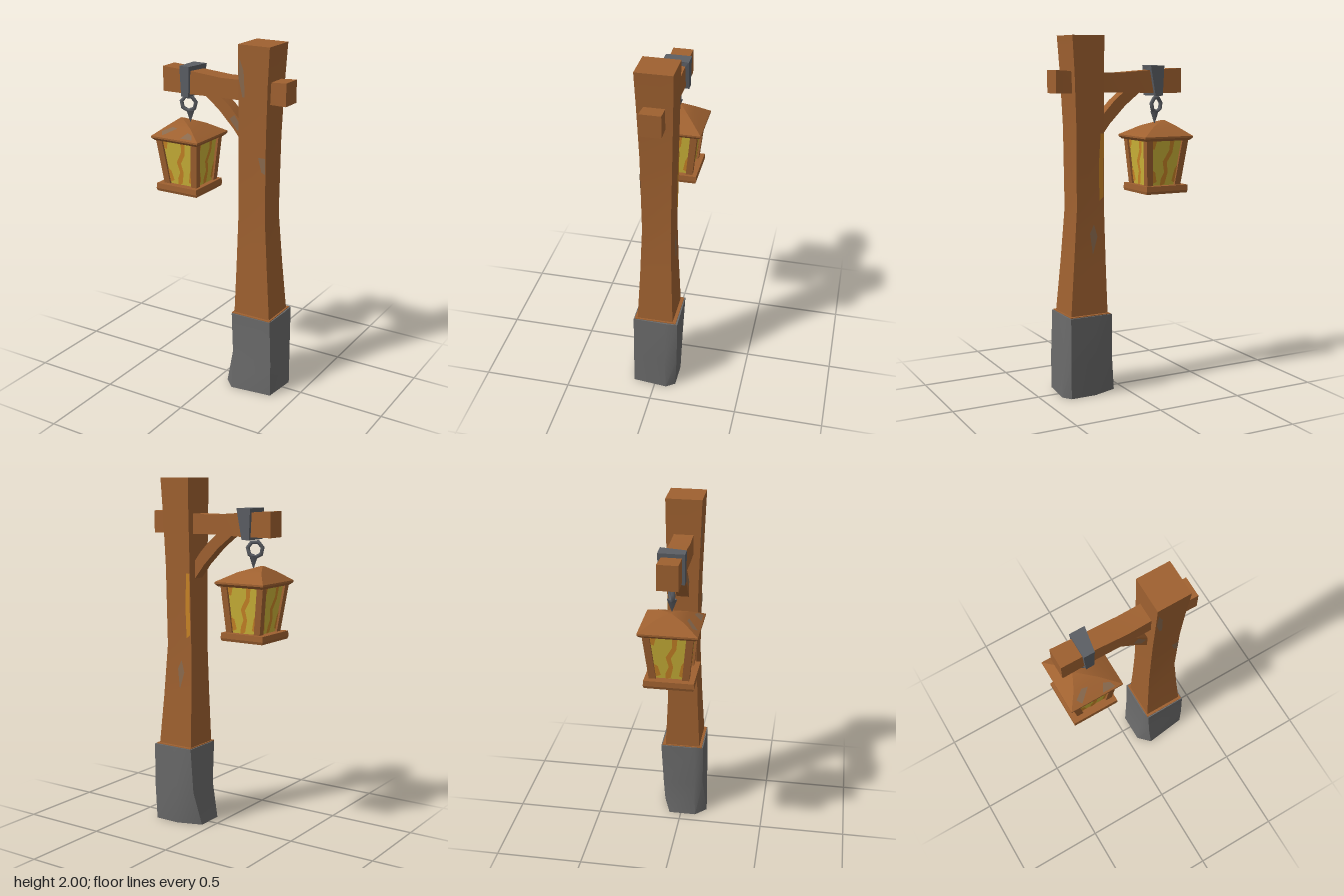
import * as THREE from 'three';
import { toCreasedNormals } from 'three/addons/utils/BufferGeometryUtils.js';

const mat = (name, color, side = THREE.FrontSide) =>
  Object.assign(new THREE.MeshStandardMaterial({ color, side }), { name });

// Skin between rings of [x, y, z] points, closed with caps
function loft(rings, crease = 0.7) {
  const pos = [];
  const tri = (a, b, c) => pos.push(...a, ...b, ...c);
  const n = rings[0].length;
  for (let r = 0; r < rings.length - 1; r++) {
    const a = rings[r], b = rings[r + 1];
    for (let i = 0; i < n; i++) {
      const j = (i + 1) % n;
      tri(a[i], a[j], b[j]);
      tri(a[i], b[j], b[i]);
    }
  }
  const lo = rings[0], hi = rings[rings.length - 1];
  for (let i = 1; i < n - 1; i++) {
    tri(lo[0], lo[i + 1], lo[i]);
    tri(hi[0], hi[i], hi[i + 1]);
  }
  const g = new THREE.BufferGeometry();
  g.setAttribute('position', new THREE.Float32BufferAttribute(pos, 3));
  return toCreasedNormals(g, crease);
}

// Flat polygon whose corners [u, v] are placed by a mapping rule
function plate(points, map) {
  const g = new THREE.ShapeGeometry(new THREE.Shape(points.map(p => new THREE.Vector2(...p))));
  const p = g.attributes.position;
  for (let i = 0; i < p.count; i++) p.setXYZ(i, ...map(p.getX(i), p.getY(i)));
  g.computeVertexNormals();
  return g;
}

// Horizontal rectangle ring
const rect = (y, x0, x1, z0, z1) => [[x0, y, z0], [x0, y, z1], [x1, y, z1], [x1, y, z0]];
const lerp = THREE.MathUtils.lerp;

export function createModel() {
  const model = new THREE.Group();
  model.name = 'lanternPost';
  const wood = mat('wood', 0x9f6130);
  const stone = mat('stone', 0x6a6a6a);
  const iron = mat('iron', 0x5b5e64);
  const glass = mat('yellowGlass', 0xccb338, THREE.DoubleSide);
  const amber = mat('amber', 0xc98426, THREE.DoubleSide);
  const worn = mat('wornWood', 0x8a6a4e, THREE.DoubleSide);
  const add = (name, geo, material, parent = model) => {
    const m = new THREE.Mesh(geo, material);
    m.name = name;
    parent.add(m);
    return m;
  };

  // Stone footing with uneven, flared foot
  const footing = [
    [0, [0.06, -0.07], [0.06, 0.09], [0.125, 0.155], [0.365, 0.125], [0.385, -0.07], [0.35, -0.12], [0.2, -0.12]],
    [0.2, [0.092, -0.11], [0.092, 0.08], [0.12, 0.128], [0.365, 0.125], [0.375, -0.06], [0.355, -0.128], [0.2, -0.125]],
    [0.46, [0.1, -0.125], [0.1, 0.08], [0.11, 0.128], [0.355, 0.125], [0.36, -0.06], [0.355, -0.13], [0.2, -0.125]],
  ];
  add('stoneFooting', loft(footing.map(([y, ...pts]) => pts.map(([x, z]) => [x, y, z]))), stone);
  add('footingCap', loft([rect(0.455, 0.107, 0.35, -0.119, 0.12), rect(0.464, 0.107, 0.35, -0.119, 0.12)]), wood);

  // Hewn post: y, x0, x1, z0, z1
  const post = [
    [0.46, 0.115, 0.34, -0.1, 0.105],
    [0.75, 0.12, 0.315, -0.087, 0.092],
    [1.05, 0.125, 0.292, -0.078, 0.082],
    [1.5, 0.128, 0.295, -0.086, 0.088],
    [1.8, 0.13, 0.307, -0.093, 0.098],
    [2.0, 0.13, 0.32, -0.096, 0.105],
  ];
  add('post', loft(post.map(s => rect(...s))), wood);

  // Worn patches and amber streak lying on the post faces
  const postZ = (y, front) => {
    const i = Math.max(1, post.findIndex(s => s[0] >= y));
    const a = post[i - 1], b = post[i], k = front ? 4 : 3;
    return lerp(a[k], b[k], (y - a[0]) / (b[0] - a[0])) + (front ? 0.003 : -0.003);
  };
  const onPost = front => (x, y) => [x, y, postZ(y, front)];
  add('upperPatch', plate([[0.133, 1.82], [0.155, 1.72], [0.17, 1.72], [0.165, 1.86], [0.14, 1.93]], onPost(true)), worn);
  add('middlePatch', plate([[0.25, 1.4], [0.27, 1.32], [0.292, 1.31], [0.292, 1.4]], onPost(true)), worn);
  add('backPatch', plate([[0.17, 0.9], [0.2, 0.8], [0.215, 0.92], [0.19, 0.97]], onPost(false)), worn);
  add('backStreak', plate([[0.13, 1.12], [0.155, 1.1], [0.16, 1.3], [0.15, 1.47], [0.13, 1.47]], onPost(false)), amber);

  // Cross beam: x, y0, y1, z0, z1
  const beam = [
    [-0.38, 1.685, 1.825, -0.057, 0.057],
    [-0.2, 1.685, 1.815, -0.052, 0.055],
    [0, 1.692, 1.8, -0.05, 0.06],
    [0.2, 1.69, 1.803, -0.05, 0.057],
    [0.398, 1.69, 1.815, -0.053, 0.064],
  ];
  add('crossBeam', loft(beam.map(([x, y0, y1, z0, z1]) =>
    [[x, y0, z1], [x, y0, z0], [x, y1, z0], [x, y1, z1]])), wood);

  // Curved brace under the beam
  const brace = new THREE.Shape();
  brace.moveTo(0.15, 1.41);
  brace.lineTo(0.15, 1.51);
  brace.quadraticCurveTo(0.07, 1.63, -0.03, 1.7);
  brace.lineTo(-0.135, 1.7);
  brace.quadraticCurveTo(0.03, 1.585, 0.15, 1.41);
  const braceGeo = new THREE.ExtrudeGeometry(brace, { depth: 0.07, bevelEnabled: false, curveSegments: 3 });
  add('brace', toCreasedNormals(braceGeo.translate(0, 0, -0.035), 0.6), wood);
  add('bracePatch', plate([[0.04, 1.575], [0.09, 1.515], [0.122, 1.53], [0.07, 1.6]], (x, y) => [x, y, 0.038]), worn);

  // Iron strap around the beam, narrower below and pulled aside at the back
  const band = new THREE.Shape([[-0.07, 1.67], [0.07, 1.67], [0.072, 1.84], [-0.072, 1.84]].map(p => new THREE.Vector2(...p)));
  band.holes.push(new THREE.Path([[-0.05, 1.69], [-0.05, 1.81], [0.05, 1.81], [0.05, 1.69]].map(p => new THREE.Vector2(...p))));
  const strap = new THREE.ExtrudeGeometry(band, { depth: 0.062, bevelEnabled: false });
  strap.rotateY(Math.PI / 2).translate(-0.031, 0, 0);
  const sp = strap.attributes.position;
  for (let i = 0; i < sp.count; i++) {
    const t = (sp.getY(i) - 1.67) / 0.17;
    const pull = sp.getZ(i) < 0 && sp.getX(i) > 0 ? 0.025 * t : 0;
    sp.setX(i, -0.23 + sp.getX(i) * lerp(0.75, 1, t) + pull);
  }
  strap.computeVertexNormals();
  add('strap', strap, iron);

  // Hanging ring and hook
  const ring = add('ring', new THREE.TorusGeometry(0.042, 0.012, 5, 7), iron);
  ring.position.set(-0.25, 1.618, 0);
  ring.rotation.set(0, 0.35, 0.2);
  const hook = add('hook', new THREE.ConeGeometry(0.028, 0.075, 4), iron);
  hook.position.set(-0.24, 1.545, 0);
  hook.rotation.x = Math.PI;

  // Lantern
  const lantern = new THREE.Group();
  lantern.name = 'lantern';
  model.add(lantern);
  add('lanternBase', loft([
    rect(1.12, -0.38, -0.118, -0.13, 0.135),
    rect(1.135, -0.385, -0.115, -0.135, 0.14),
    rect(1.165, -0.383, -0.117, -0.133, 0.138),
  ], 0.2), wood, lantern);
  add('lanternRoof', loft([
    rect(1.42, -0.385, -0.105, -0.145, 0.145),
    rect(1.435, -0.4, -0.092, -0.16, 0.16),
    rect(1.445, -0.4, -0.092, -0.16, 0.16),
    rect(1.497, -0.34, -0.19, -0.08, 0.08),
    rect(1.528, -0.305, -0.285, -0.01, 0.01),
  ], 0.5), wood, lantern);
  const onRoof = (x, z) => [x, 1.449 + (0.16 - z) * 0.65, z];
  add('roofPatchA', plate([[-0.33, 0.15], [-0.35, 0.125], [-0.3, 0.09], [-0.265, 0.095]], onRoof), worn, lantern);
  add('roofPatchB', plate([[-0.21, 0.152], [-0.185, 0.112], [-0.15, 0.125], [-0.135, 0.152]], onRoof), worn, lantern);

  // Tapered body: centre and half width at height t (0 bottom, 1 top)
  const bodyY = t => lerp(1.16, 1.43, t);
  const bodyX = t => lerp(-0.242, -0.25, t);
  const half = t => lerp(0.108, 0.136, t);
  for (const sx of [-1, 1]) for (const sz of [-1, 1]) {
    add('cornerPost', loft([0, 1].map(t => {
      const cx = bodyX(t) + sx * (half(t) - 0.019), cz = sz * (half(t) - 0.019);
      return rect(bodyY(t), cx - 0.019, cx + 0.019, cz - 0.019, cz + 0.019);
    })), wood, lantern);
  }

  // Glass pane and amber swirls on each of the four sides
  const pane = [[-1, 0], [1, 0], [1, 1], [-1, 1]];
  const swirls = [
    [[-0.25, 0], [0.1, 0.05], [0.25, 0.3], [0.12, 0.5], [0.4, 0.7], [0.45, 0.97],
      [0.2, 0.97], [0.2, 0.76], [-0.15, 0.52], [0, 0.3], [-0.2, 0.15]],
    [[-0.85, 0.05], [-0.5, 0.1], [-0.62, 0.3], [-0.85, 0.36]],
    [[-0.85, 0.8], [-0.7, 0.78], [-0.55, 0.97], [-0.85, 0.97]],
    [[0.6, 0.1], [0.85, 0.06], [0.85, 0.45], [0.7, 0.35]],
  ];
  for (let k = 0; k < 4; k++) {
    const a = k * Math.PI / 2, c = Math.cos(a), s = Math.sin(a);
    const onSide = out => (u, t) => {
      const w = u * (half(t) - 0.022), d = half(t) - 0.014 + out;
      return [bodyX(t) + w * c + d * s, bodyY(t), -w * s + d * c];
    };
    add('glassPane', plate(pane, onSide(0)), glass, lantern);
    swirls.forEach(sw => add('amberSwirl', plate(sw, onSide(0.003)), amber, lantern));
  }
  return model;
}
